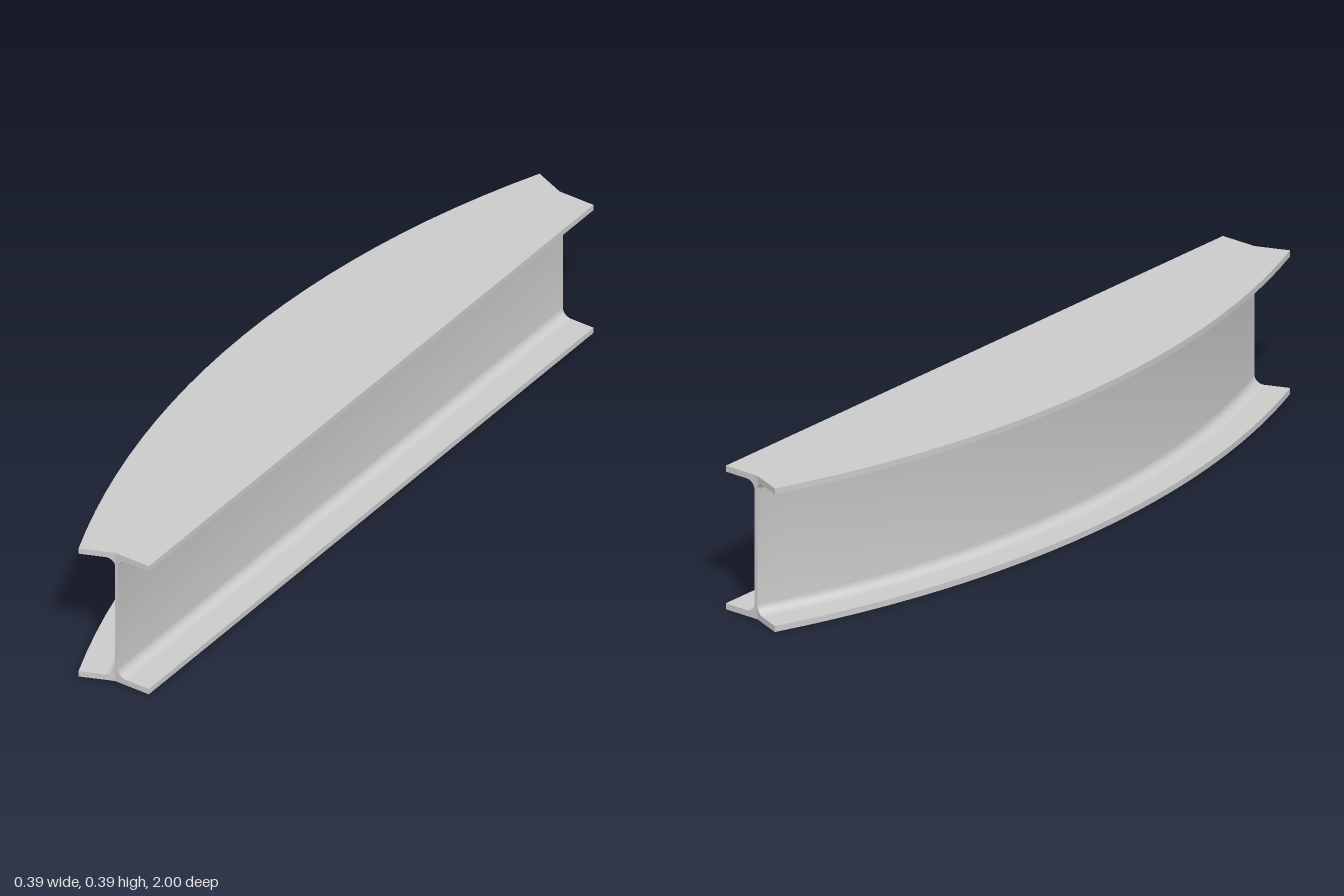
import * as THREE from 'three';
import { toCreasedNormals } from 'three/addons/utils/BufferGeometryUtils.js';

const HEIGHT = 0.386, FLANGE = 0.016, FILLET = 0.025;
const EDGE = 0.193;              // half width of the flanges
const INSET = 0.093;             // flange overhang beyond the web
const RADIUS = 2.624;            // plan radius of the curved flange edge
const ANGLE = Math.asin(1 / RADIUS);
const CENTRE = RADIUS - EDGE;    // x of the arc centre
const SEGMENTS = 24;

// Plan outline as [x, z], stepped in from the flange edge by `inset`
function outline(inset) {
  const pts = [];
  const polar = (r, t) => [CENTRE - r * Math.cos(t), r * Math.sin(t)];
  for (let i = 0; i <= SEGMENTS; i++) {
    pts.push(polar(RADIUS - inset, ANGLE * (2 * i / SEGMENTS - 1)));
  }
  // Radial end cuts meet the square end cuts where the two webs join
  const [jx, jz] = polar(RADIUS - INSET, ANGLE);
  const x = EDGE - inset;
  pts.push([jx, jz], [x, jz], [x, -jz], [jx, -jz]);
  return pts;
}

// Flat plate with the full plan outline
function flangeGeometry() {
  const shape = new THREE.Shape(outline(0).map(([x, z]) => new THREE.Vector2(x, -z)));
  const geo = new THREE.ExtrudeGeometry(shape, { depth: FLANGE, bevelEnabled: false });
  geo.rotateX(-Math.PI / 2);
  return toCreasedNormals(geo, 0.3);
}

// Web walls with root fillets, lofted through stacked outlines
function webGeometry() {
  const lower = [];
  const steps = 8;
  for (let i = 0; i <= steps; i++) {
    const t = (i / steps) * Math.PI / 2;
    lower.push([
      FLANGE + FILLET * (1 - Math.cos(t)),
      INSET - FILLET * (1 - Math.sin(t)),
    ]);
  }
  const upper = lower.map(([y, o]) => [HEIGHT - y, o]).reverse();
  const rings = [...lower, ...upper].map(([y, o]) => outline(o).map(([x, z]) => [x, y, z]));
  const pos = [];
  for (let k = 0; k < rings.length - 1; k++) {
    const a = rings[k], b = rings[k + 1], n = a.length;
    for (let i = 0; i < n; i++) {
      const j = (i + 1) % n;
      pos.push(...a[i], ...a[j], ...b[j], ...a[i], ...b[j], ...b[i]);
    }
  }
  const geo = new THREE.BufferGeometry();
  geo.setAttribute('position', new THREE.Float32BufferAttribute(pos, 3));
  geo.computeVertexNormals();
  return toCreasedNormals(geo, 0.3);
}

export function createModel() {
  const group = new THREE.Group();
  group.name = 'curvedBeam';
  const material = new THREE.MeshStandardMaterial({ color: 0xcccccc });
  const add = (name, geometry, y = 0) => {
    const mesh = new THREE.Mesh(geometry, material);
    mesh.name = name;
    mesh.position.y = y;
    group.add(mesh);
  };
  const flange = flangeGeometry();
  add('lowerFlange', flange);
  add('upperFlange', flange, HEIGHT - FLANGE);
  add('web', webGeometry());
  return group;
}
